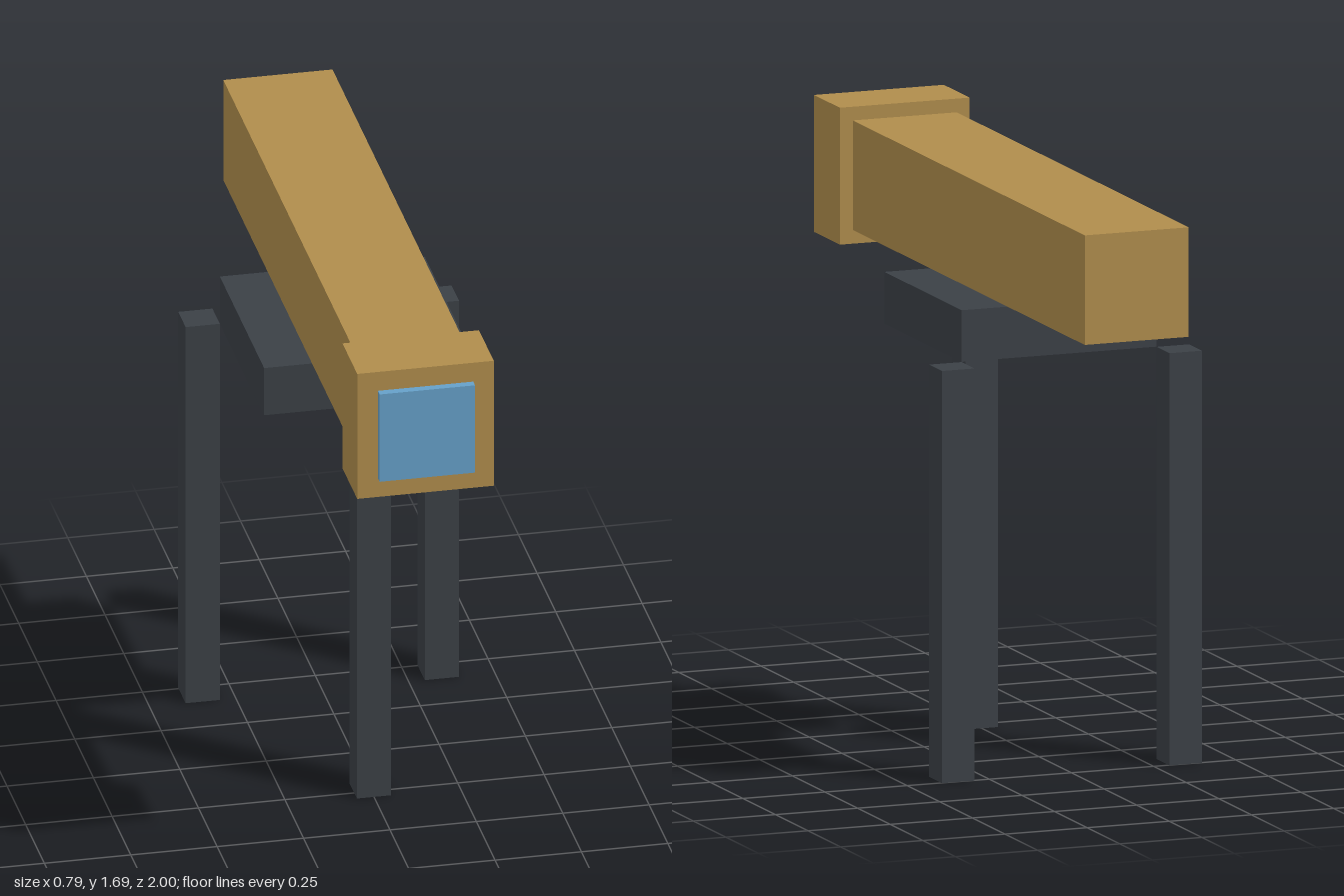
import * as THREE from 'three';

export function createModel() {
  const model = new THREE.Group();
  model.name = 'telescope';

  const material = (name, color) => {
    const m = new THREE.MeshStandardMaterial({ color });
    m.name = name;
    return m;
  };
  const brass = material('brass', 0xb08d4c);
  const darkGrey = material('dark grey', 0x3b4046);
  const glass = material('blue glass', 0x66a0c8);

  // Box from its size and centre
  const box = (name, mat, [w, h, d], [x, y, z]) => {
    const mesh = new THREE.Mesh(new THREE.BoxGeometry(w, h, d), mat);
    mesh.name = name;
    mesh.position.set(x, y, z);
    model.add(mesh);
  };

  // Square tube, wider hood and lens along one axis
  const axisY = 1.497;
  box('tube', brass, [0.316, 0.316, 1.778], [0, axisY, -0.111]);
  box('hood', brass, [0.395, 0.395, 0.198], [0, axisY, 0.877]);
  box('lens', glass, [0.276, 0.276, 0.05], [0, axisY, 0.975]);

  // Mount plate under the tube
  box('mountPlate', darkGrey, [0.593, 0.149, 0.593], [0, 1.264, -0.109]);

  // Three legs: one in front, two behind
  const legHeight = 1.189;
  const legs = [['frontLeg', 0, 0.237], ['backLeftLeg', 0.346, -0.455], ['backRightLeg', -0.346, -0.455]];
  for (const [name, x, z] of legs) {
    box(name, darkGrey, [0.099, legHeight, 0.099], [x, legHeight / 2, z]);
  }

  return model;
}
